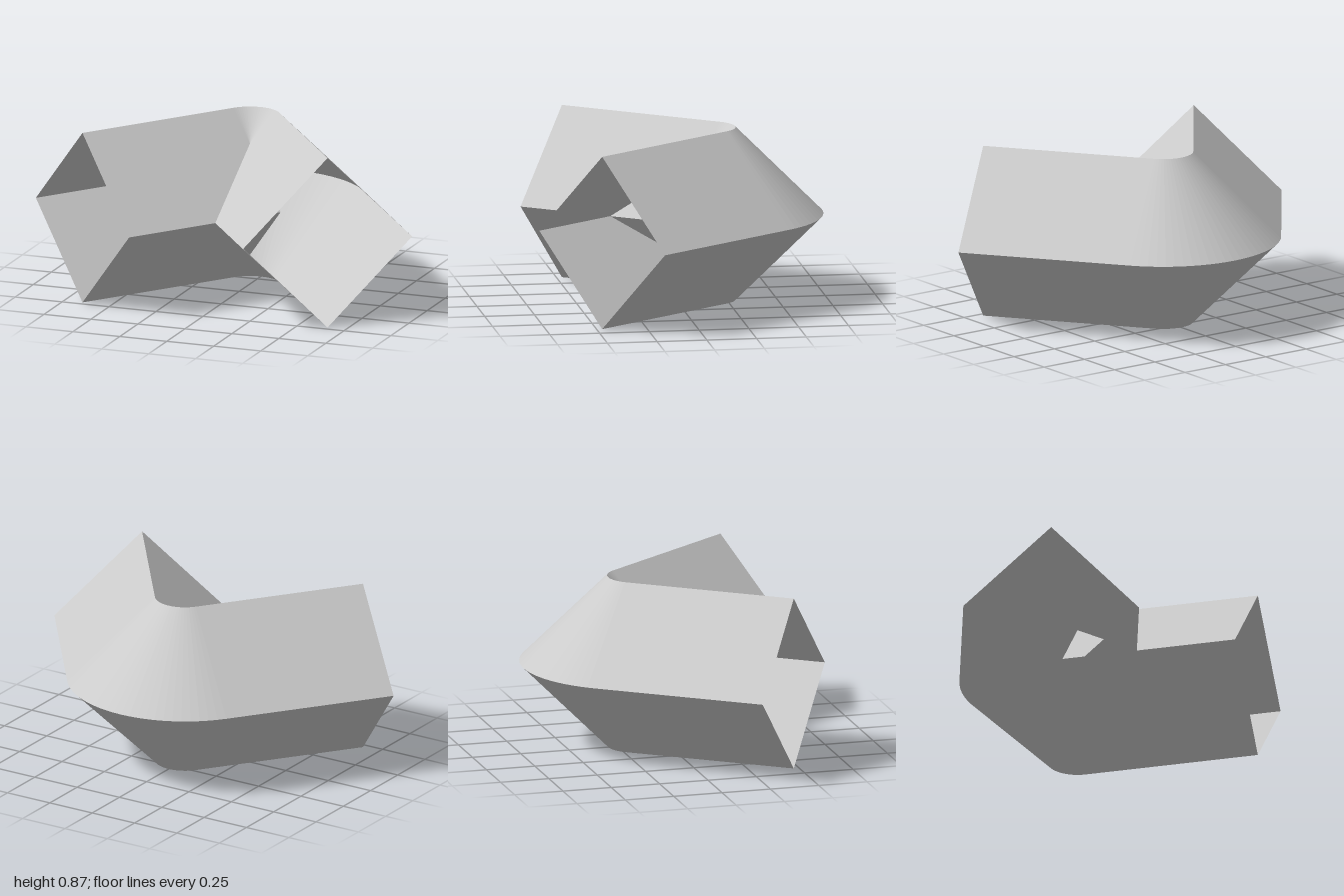
import * as THREE from 'three';

const HALF = 0.4365;      // half diagonal of the square section
const BEND = 0.15;        // radius of the bend at the section's centre
const BEND_Z = -0.1475;   // z of the bend's vertical axis
const LEG = 0.887;        // length of each straight leg
const START = Math.atan2(0.6, 0.8);
const STEPS = 24;

// Diamond section: distance from the bend axis, height.
// The inner walls get an extra point where they pass through the axis.
const section = [
  [BEND + HALF, HALF],
  [BEND, 2 * HALF],
  [0, 2 * HALF - BEND],
  [BEND - HALF, HALF],
  [0, BEND],
  [BEND, 0],
];

// One ring of the tube, facing angle a, pushed along the leg
function ring(a, push, side) {
  const nx = Math.cos(a), nz = -Math.sin(a);
  return section.map(([d, y]) => new THREE.Vector3(
    nx * d - side * nz * push, y, BEND_Z + nz * d + side * nx * push));
}

function sweptTube(rings) {
  const pos = [];
  const tri = (a, b, c) => {
    if (new THREE.Triangle(a, b, c).getArea() < 1e-8) return;
    for (const p of [a, b, c]) pos.push(p.x, p.y, p.z);
  };
  for (let i = 0; i + 1 < rings.length; i++) {
    const r = rings[i], s = rings[i + 1];
    for (let k = 0; k < section.length; k++) {
      const n = (k + 1) % section.length;
      tri(r[k], s[k], s[n]);
      tri(r[k], s[n], r[n]);
    }
  }
  const g = new THREE.BufferGeometry();
  g.setAttribute('position', new THREE.Float32BufferAttribute(pos, 3));
  g.computeVertexNormals();
  return g;
}

export function createModel() {
  const group = new THREE.Group();
  group.name = 'bentSquareTube';
  const material = new THREE.MeshStandardMaterial({
    color: 0xcccccc, flatShading: true, side: THREE.DoubleSide,
  });
  const add = (name, rings) => {
    const mesh = new THREE.Mesh(sweptTube(rings), material);
    mesh.name = name;
    group.add(mesh);
  };

  // Rounded bend, from the left leg to the right leg
  const bend = [];
  for (let i = 0; i <= STEPS; i++) {
    bend.push(ring(START + (Math.PI - 2 * START) * i / STEPS, 0, 1));
  }
  add('bend', bend);

  // Straight legs with open ends
  add('leftLeg', [ring(START, LEG, 1), bend[0]]);
  add('rightLeg', [bend[STEPS], ring(Math.PI - START, LEG, -1)]);
  return group;
}
